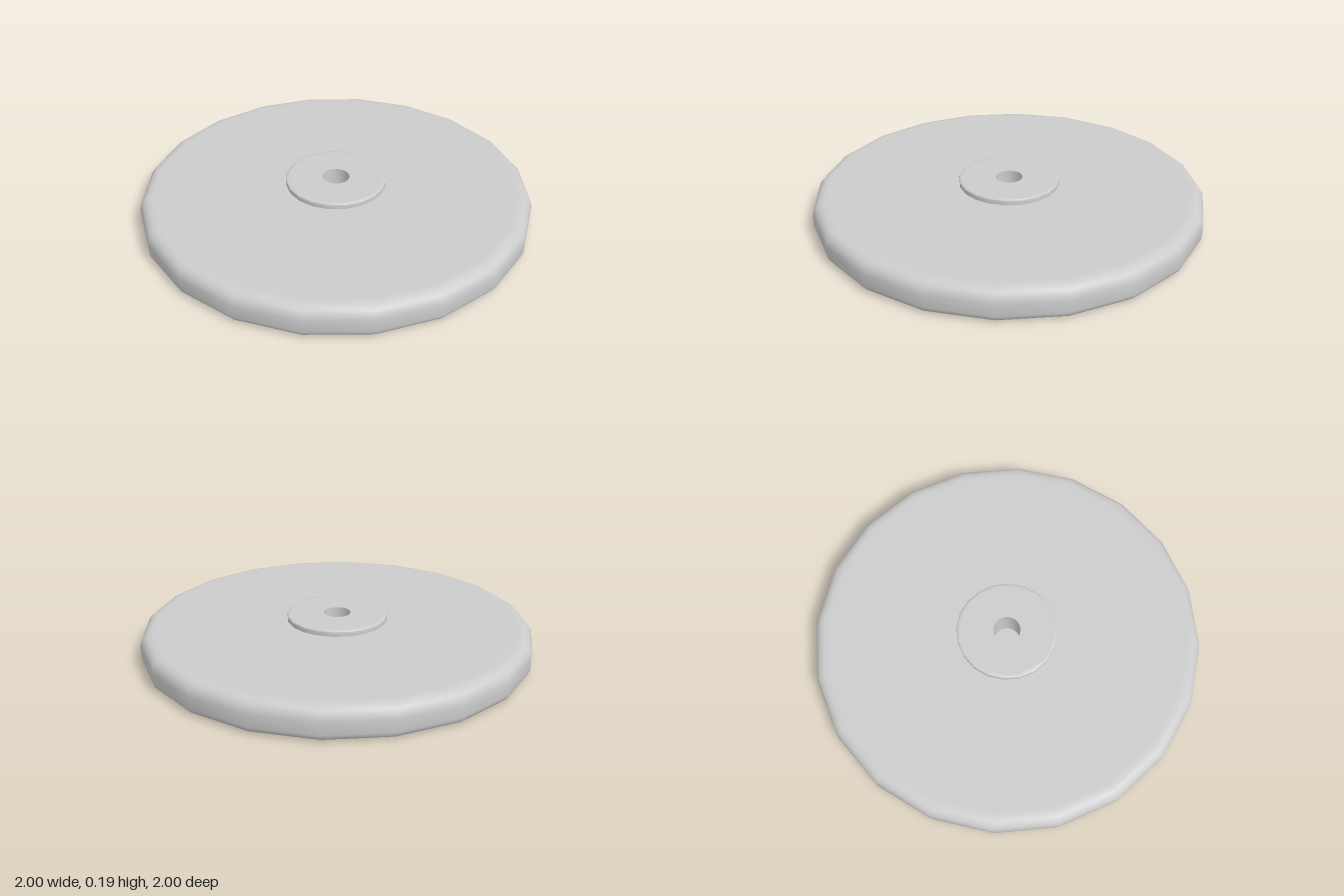
import * as THREE from 'three';
import { toCreasedNormals } from 'three/addons/utils/BufferGeometryUtils.js';

const SIDES = 20;
const material = new THREE.MeshStandardMaterial({ color: 0xcccccc });

// Quarter-round points from angle a0 to a1 (degrees) around (r, y)
function arc(r, y, rx, ry, a0, a1, steps) {
  const pts = [];
  for (let i = 0; i <= steps; i++) {
    const a = THREE.MathUtils.degToRad(a0 + ((a1 - a0) * i) / steps);
    pts.push([r + rx * Math.cos(a), y + ry * Math.sin(a)]);
  }
  return pts;
}

// Revolve a profile listed from the bottom outwards and up
function turned(name, profile) {
  const points = profile.map(([r, y]) => new THREE.Vector2(r, y));
  const geometry = toCreasedNormals(new THREE.LatheGeometry(points, SIDES), 0.7);
  const mesh = new THREE.Mesh(geometry, material);
  mesh.name = name;
  return mesh;
}

export function createModel() {
  const model = new THREE.Group();
  model.name = 'roundBase';

  // Wide disc with a small lower round and a larger upper round
  model.add(turned('disc', [
    [0, 0], [0.94, 0],
    ...arc(0.96, 0.035, 0.04, 0.035, -90, 0, 4),
    ...arc(0.94, 0.095, 0.06, 0.06, 0, 90, 4),
    [0.92, 0.155], [0.2, 0.155],
  ]));

  // Raised hub with a softened rim and a blind centre hole
  model.add(turned('hub', [
    [0.258, 0.15],
    ...arc(0.25, 0.177, 0.01, 0.008, 0, 90, 3),
    [0.24, 0.185], [0.07, 0.185], [0.07, 0.02], [0, 0.02],
  ]));

  return model;
}
